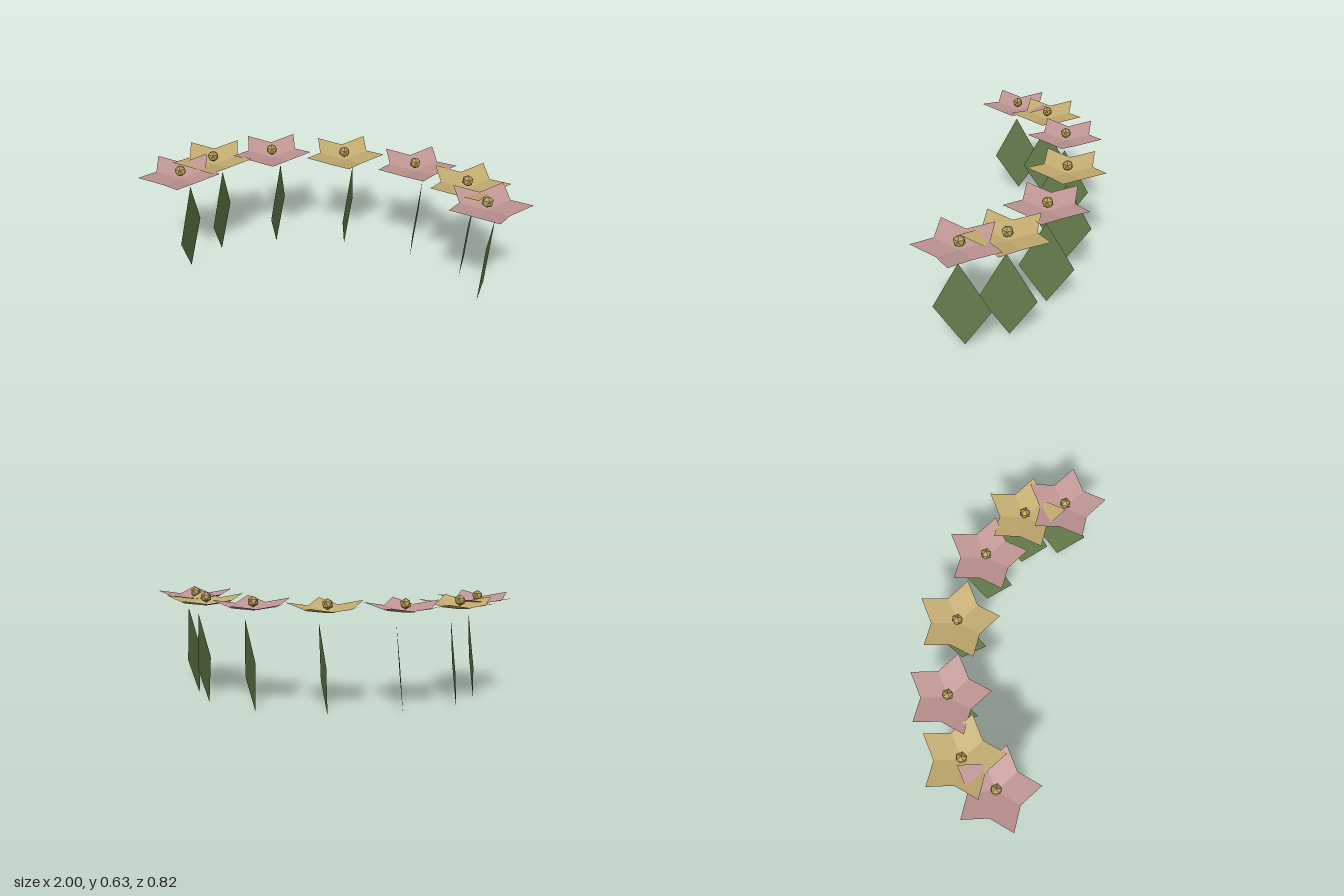
import * as THREE from 'three';

const material = (name, color, side = THREE.DoubleSide) => {
  const m = new THREE.MeshStandardMaterial({ color, side, flatShading: true });
  m.name = name;
  return m;
};

// Flat diamond rising from its base at the origin to a tip, with two side corners
function diamond(tip, sideAt, halfWidth) {
  const [x, y] = tip;
  const g = new THREE.BufferGeometry();
  g.setAttribute('position', new THREE.Float32BufferAttribute([
    0, 0, 0,
    x * sideAt, y * sideAt, halfWidth,
    x, y, 0,
    x * sideAt, y * sideAt, -halfWidth,
  ], 3));
  g.setIndex([0, 1, 2, 0, 2, 3]);
  g.computeVertexNormals();
  return g;
}

export function createModel() {
  const pink = material('dusty pink', 0xc09694);
  const yellow = material('straw yellow', 0xc4ac70);
  const green = material('leaf green', 0x6a8450);
  const gold = material('dark gold', 0xb49c56, THREE.FrontSide);

  const petalGeo = diamond([0.221, 0.053], 0.43, 0.092);
  const leafGeo = diamond([0.046, 0.51], 0.45, 0.143);
  // Icosahedron turned so that one corner points straight up
  const centreGeo = new THREE.IcosahedronGeometry(0.031, 0);
  centreGeo.rotateZ(-Math.atan(2 / (1 + Math.sqrt(5))));

  // One flower: five petals, a bead in the middle and a hanging leaf
  function flower(x, z, petalMaterial) {
    const group = new THREE.Group();
    group.name = 'flower';
    group.position.set(x, 0, z);
    for (let i = 0; i < 5; i++) {
      const petal = new THREE.Mesh(petalGeo, petalMaterial);
      petal.name = 'petal';
      petal.position.y = 0.553;
      petal.rotation.y = (i * Math.PI * 2) / 5;
      group.add(petal);
    }
    const centre = new THREE.Mesh(centreGeo, gold);
    centre.name = 'flowerCentre';
    centre.position.y = 0.6;
    const leaf = new THREE.Mesh(leafGeo, green);
    leaf.name = 'leaf';
    group.add(centre, leaf);
    return group;
  }

  // Seven flowers in an open arc, colours alternating
  const root = new THREE.Group();
  root.name = 'flowerArc';
  const spots = [[-0.8, 0.2], [-0.69, 0], [-0.4, -0.146], [0, -0.2], [0.4, -0.146], [0.69, 0], [0.8, 0.2]];
  spots.forEach(([x, z], i) => root.add(flower(x - 0.021, z, i % 2 ? yellow : pink)));
  return root;
}
